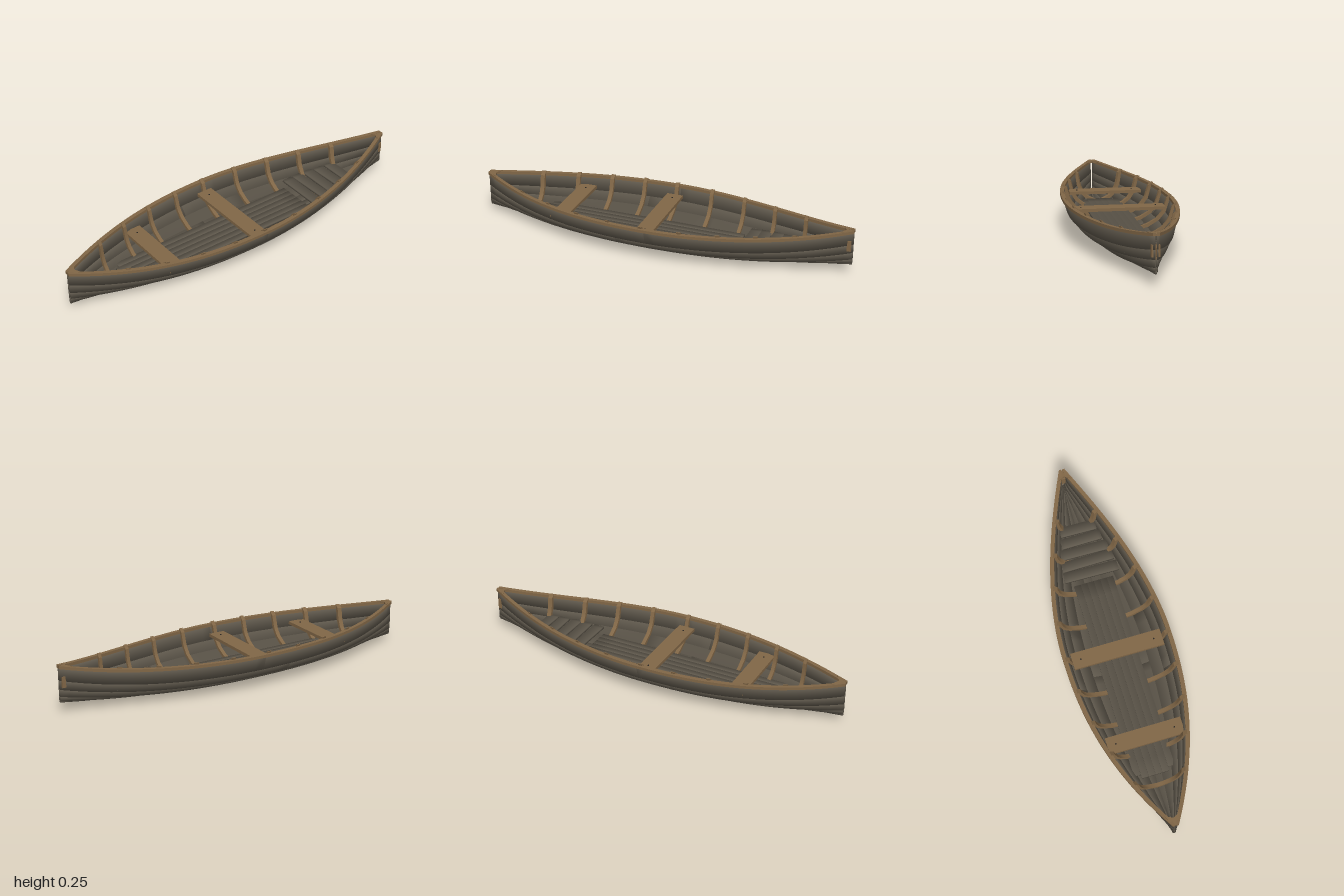
import * as THREE from 'three';
import { toCreasedNormals } from 'three/addons/utils/BufferGeometryUtils.js';

const mat = (name, color) => {
  const m = new THREE.MeshStandardMaterial({ color });
  m.name = name;
  return m;
};

// Knots of the half section, keel to sheer: midship z and y, then y at each end
const Z = [0, 0.061, 0.154, 0.214, 0.254, 0.278];
const Y = [0.004, 0.01, 0.034, 0.068, 0.113, 0.187];
const BOW = [0.064, 0.074, 0.094, 0.13, 0.176, 0.239];
const STERN = [0.044, 0.056, 0.078, 0.114, 0.16, 0.222];

// Point (z, y) on the hull at station x and girth v (0 keel .. 5 sheer)
function hull(x, v) {
  const a = Math.abs(x);
  const w = 1 - Math.pow(a, x < 0 ? 2.3 : 1.8);
  const end = x < 0 ? STERN : BOW;
  const k = Math.min(4, Math.max(0, Math.floor(v)));
  const mix = (t) => t[k] + (t[k + 1] - t[k]) * (v - k);
  const y = mix(Y);
  return [mix(Z) * w + 0.006 * Math.min(1, v) * a ** 6, y + (mix(end) - y) * a ** (2.7 + 0.15 * v)];
}

// Hull point pushed outwards by off, with the normal taken between va and vb
function offsetPoint(x, v, va, vb, off, side) {
  const [z, y] = hull(x, v), [z0, y0] = hull(x, va), [z1, y1] = hull(x, vb);
  const l = Math.hypot(z1 - z0, y1 - y0) || 1;
  const zz = z + ((y1 - y0) / l) * off;
  const gap = 0.004 * Math.min(1, v / 2) * Math.abs(x) ** 12;
  return new THREE.Vector3(x, y - ((z1 - z0) / l) * off, side * Math.max(zz, gap));
}

// Corner normals that make a square plank shade as if softly rounded
function roundedNormals(rings) {
  const away = (p, q) => p.clone().sub(q).normalize();
  const last = rings.length - 1;
  return rings.flatMap((ring, i) => ring.flatMap((p, j) => {
    const n = ring.length;
    const v = away(p, ring[(j + 1) % n]).add(away(p, ring[(j + n - 1) % n]));
    if (i === 0) v.add(away(p, rings[1][j]));
    if (i === last) v.add(away(p, rings[last - 1][j]));
    return v.normalize().toArray();
  }));
}

// Solid through a row of four-cornered rings, capped at both ends and facing outwards
function loft(rings, rounded) {
  const n = 4, pts = rings.flat(), idx = [];
  for (let i = 0; i < rings.length - 1; i++) {
    for (let j = 0; j < n; j++) {
      const a = i * n + j, b = i * n + ((j + 1) % n);
      idx.push(a, b, a + n, b, b + n, a + n);
    }
  }
  const e = (rings.length - 1) * n;
  idx.push(0, 2, 1, 0, 3, 2, e, e + 1, e + 2, e, e + 2, e + 3);
  let volume = 0;
  const cross = new THREE.Vector3();
  for (let i = 0; i < idx.length; i += 3) {
    volume += pts[idx[i]].dot(cross.crossVectors(pts[idx[i + 1]], pts[idx[i + 2]]));
  }
  if (volume < 0) idx.reverse();
  const g = new THREE.BufferGeometry().setFromPoints(pts);
  g.setIndex(idx);
  if (!rounded) return toCreasedNormals(g, 0.6);
  g.setAttribute('normal', new THREE.Float32BufferAttribute(roundedNormals(rings), 3));
  return g;
}

const stations = (x0, x1, n) => Array.from({ length: n + 1 }, (_, i) => x0 + ((x1 - x0) * i) / n);

// One length of an overlapping hull plank
function strake(k, x0, x1, side) {
  return loft(stations(x0, x1, 20).map((x) => {
    const at = (v, off) => offsetPoint(x, v, k, k + 1, off, side);
    return [at(k, 0.002), at(k + 1, 0), at(k + 1, -0.012), at(k, -0.01)];
  }), true);
}

// Straight softened board, length along x
function board(length, height, width) {
  const h = height / 2, w = width / 2;
  return loft(stations(-length / 2, length / 2, 12).map((x) => [
    new THREE.Vector3(x, h, -w), new THREE.Vector3(x, h, w),
    new THREE.Vector3(x, -h, w), new THREE.Vector3(x, -h, -w),
  ]), true);
}

// Square rail along the sheer
function rail(side) {
  return loft(stations(-1, 1, 56).map((x) => {
    const [z, y] = hull(x, 5);
    const p = (dz, dy) => new THREE.Vector3(x, y + dy, side * Math.max(0.002, z + dz));
    return [p(-0.013, -0.001), p(0.009, -0.001), p(0.009, 0.014), p(-0.013, 0.014)];
  }));
}

// Bent frame running from rail to rail inside the hull, with pointed heads
function rib(x) {
  const vs = [0.3, 0.7, 1, 1.4, 1.8, 2.2, 2.6, 3, 3.4, 3.8, 4.2, 4.6, 5, 5.3];
  const row = [...vs.map((v) => [v, 1]).reverse(), ...vs.map((v) => [v, -1])];
  return loft(row.map(([v, s]) => {
    const inner = v > 5.2 ? -0.011 : -0.027;
    const p = (dx, off) => offsetPoint(x + dx, v, Math.max(0, v - 0.5), v + 0.5, off, s);
    return [p(-0.01, -0.008), p(0.01, -0.008), p(0.01, inner), p(-0.01, inner)];
  }));
}

export function createModel() {
  const boat = new THREE.Group();
  boat.name = 'rowingBoat';
  const hullMat = mat('weatheredHull', 0x5f584c);
  const woodMat = mat('brownWood', 0x806646);
  const nailMat = mat('darkIron', 0x2b2723);

  const add = (name, geometry, material, x = 0, y = 0, z = 0) => {
    const m = new THREE.Mesh(geometry, material);
    m.name = name;
    m.position.set(x, y, z);
    boat.add(m);
    return m;
  };
  const box = (name, material, size, pos) => add(name, new THREE.BoxGeometry(...size), material, ...pos);

  // Hull planks, each with one butt joint, and the rails
  const joints = [0.1, -0.1, 0.17, -0.17, 0];
  for (const side of [1, -1]) {
    joints.forEach((joint, k) => {
      add('hullPlank', strake(k, -0.998, joint, side), hullMat);
      add('hullPlank', strake(k, joint, 0.998, side), hullMat);
    });
    add('rail', rail(side), woodMat);
  }

  // Ribs
  for (const x of [-0.74, -0.56, -0.38, -0.2, -0.02, 0.18, 0.37, 0.55, 0.73]) add('rib', rib(x), woodMat);

  // Lengthwise floor planks
  for (let i = 0; i < 6; i++) {
    const x0 = i === 0 || i === 5 ? -0.67 : -0.69;
    add('floorPlank', board(0.41 - x0, 0.012, 0.035), hullMat, (0.41 + x0) / 2, 0.06, (i - 2.5) * 0.036);
  }

  // Cross slats of the raised floor
  [0.147, 0.14, 0.13, 0.11, 0.098].forEach((half, i) => {
    const slat = add('floorSlat', board(half * 2, 0.012, 0.057), hullMat, 0.46 + i * 0.0625, 0.08 + i * 0.006, 0);
    slat.rotation.set(0, Math.PI / 2 + (i % 2 ? 0.015 : -0.015), 0);
  });

  // Seats with a nail at each end
  for (const [x, half, y] of [[-0.505, 0.198, 0.145], [-0.025, 0.24, 0.15]]) {
    box('seat', woodMat, [0.088, 0.016, half * 2], [x, y, 0]);
    for (const s of [1, -1]) {
      add('seatNail', new THREE.CylinderGeometry(0.004, 0.004, 0.004, 8), nailMat, x, y + 0.009, s * (half - 0.045));
    }
  }

  // Corner pieces joining the rails at both ends
  for (const s of [1, -1]) {
    const [z, y] = hull(s * 0.94, 5);
    const shape = new THREE.Shape([
      new THREE.Vector2(s * 0.94, -z), new THREE.Vector2(s * 0.998, -0.01),
      new THREE.Vector2(s * 0.998, 0.01), new THREE.Vector2(s * 0.94, z), new THREE.Vector2(s * 0.96, 0),
    ]);
    const g = new THREE.ExtrudeGeometry(shape, { depth: 0.01, bevelEnabled: false });
    g.rotateX(-Math.PI / 2);
    add('breasthook', g, woodMat, 0, y + 0.008, 0);
  }

  // Bracket clasping the bow
  box('bowBracket', woodMat, [0.012, 0.05, 0.014], [0.978, 0.168, 0]);
  for (const s of [1, -1]) box('bowBracketCheek', woodMat, [0.02, 0.056, 0.015], [0.98, 0.168, s * 0.0125]);

  return boat;
}
